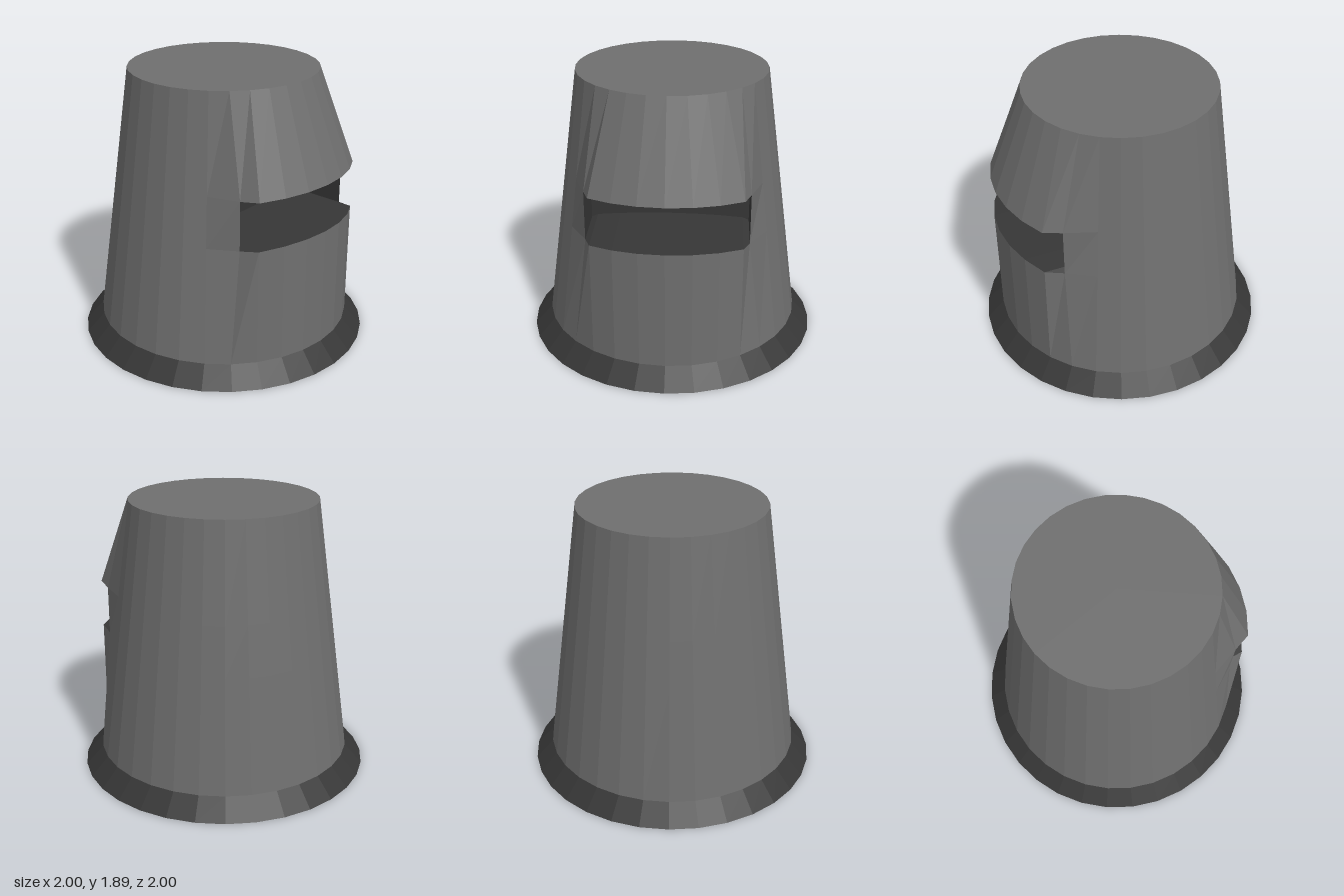
import * as THREE from 'three';

const SIDES = 32;
const STEP = (Math.PI * 2) / SIDES;
const BASE_Y = 0.13, TOP_Y = 1.89, BASE_R = 0.88, TOP_R = 0.64;
const SLOT_X = 0.53, SLOT_Z = 0.61, BACK_Z = 0.27;

// Collects quads (corners counter-clockwise from outside) into one geometry
function quadGeometry(quads) {
  const points = [];
  for (const [a, b, c, d] of quads) points.push(...a, ...b, ...c, ...a, ...c, ...d);
  const geometry = new THREE.BufferGeometry();
  geometry.setAttribute('position', new THREE.Float32BufferAttribute(points, 3));
  geometry.computeVertexNormals();
  return geometry;
}

// Heights of the lower and upper lips, arched towards the middle
const lowerLip = (z) => 0.905 + 0.04 * (z - SLOT_Z) / (BASE_R - SLOT_Z);
const upperLip = (z) => 1.24 + 0.025 * (z - SLOT_Z) / (BASE_R - SLOT_Z);

// One upright edge of the body: base, lower lip, upper lip, top
function column(i) {
  const s = Math.sin(i * STEP), c = Math.cos(i * STEP);
  const ring = (r, y) => [s * r, y, c * r];
  const cone = (y) => ring(THREE.MathUtils.mapLinear(y, BASE_Y, TOP_Y, BASE_R, TOP_R), y);
  let lips;
  if (Math.abs(i) < 4) {
    const z = c * BASE_R;
    lips = [ring(BASE_R, lowerLip(z)), ring(BASE_R, upperLip(z))];
  } else if (Math.abs(i) === 4) {
    const x = Math.sign(i) * SLOT_X;
    lips = [[x, lowerLip(SLOT_Z), SLOT_Z], [x, upperLip(SLOT_Z), SLOT_Z]];
  } else {
    lips = [cone(0.905), cone(1.24)];
  }
  return [cone(BASE_Y), ...lips, cone(TOP_Y)];
}

export function createModel() {
  const group = new THREE.Group();
  const bodyMaterial = new THREE.MeshStandardMaterial({ color: 0x6f6f6f, flatShading: true, side: THREE.DoubleSide });
  const darkMaterial = new THREE.MeshStandardMaterial({ color: 0x363636, flatShading: true, side: THREE.DoubleSide });
  const add = (name, geometry, material) => {
    const mesh = new THREE.Mesh(geometry, material);
    mesh.name = name;
    group.add(mesh);
    return mesh;
  };

  // Tapered body with a bulging front, left open at the slot
  const body = [], recess = [];
  for (let i = -16; i < 16; i++) {
    const a = column(i), b = column(i + 1);
    const front = i >= -4 && i < 4;
    for (let row = 0; row < 3; row++) {
      if (front && row === 1) continue;
      body.push([a[row], b[row], b[row + 1], a[row + 1]]);
    }
    if (front) {
      // Slot floor, ceiling and back wall behind this strip
      const back = (p) => [p[0], p[1], BACK_Z];
      recess.push([a[1], b[1], back(b[1]), back(a[1])]);
      recess.push([back(a[2]), back(b[2]), b[2], a[2]]);
      recess.push([back(a[1]), back(b[1]), back(b[2]), back(a[2])]);
    }
  }
  // Slot end walls
  for (const side of [-1, 1]) {
    const [, low, high] = column(4 * side);
    const wall = [low, [low[0], low[1], BACK_Z], [high[0], high[1], BACK_Z], high];
    recess.push(side < 0 ? wall : wall.reverse());
  }
  add('body', quadGeometry(body), bodyMaterial);
  add('slotRecess', quadGeometry(recess), darkMaterial);

  // Flat lid
  const lid = add('topLid', new THREE.CircleGeometry(TOP_R, SIDES), bodyMaterial);
  lid.rotation.x = -Math.PI / 2;
  lid.position.y = TOP_Y;

  // Flared foot
  const foot = add('flaredFoot', new THREE.CylinderGeometry(BASE_R, 1, BASE_Y, SIDES), darkMaterial);
  foot.position.y = BASE_Y / 2;

  return group;
}
